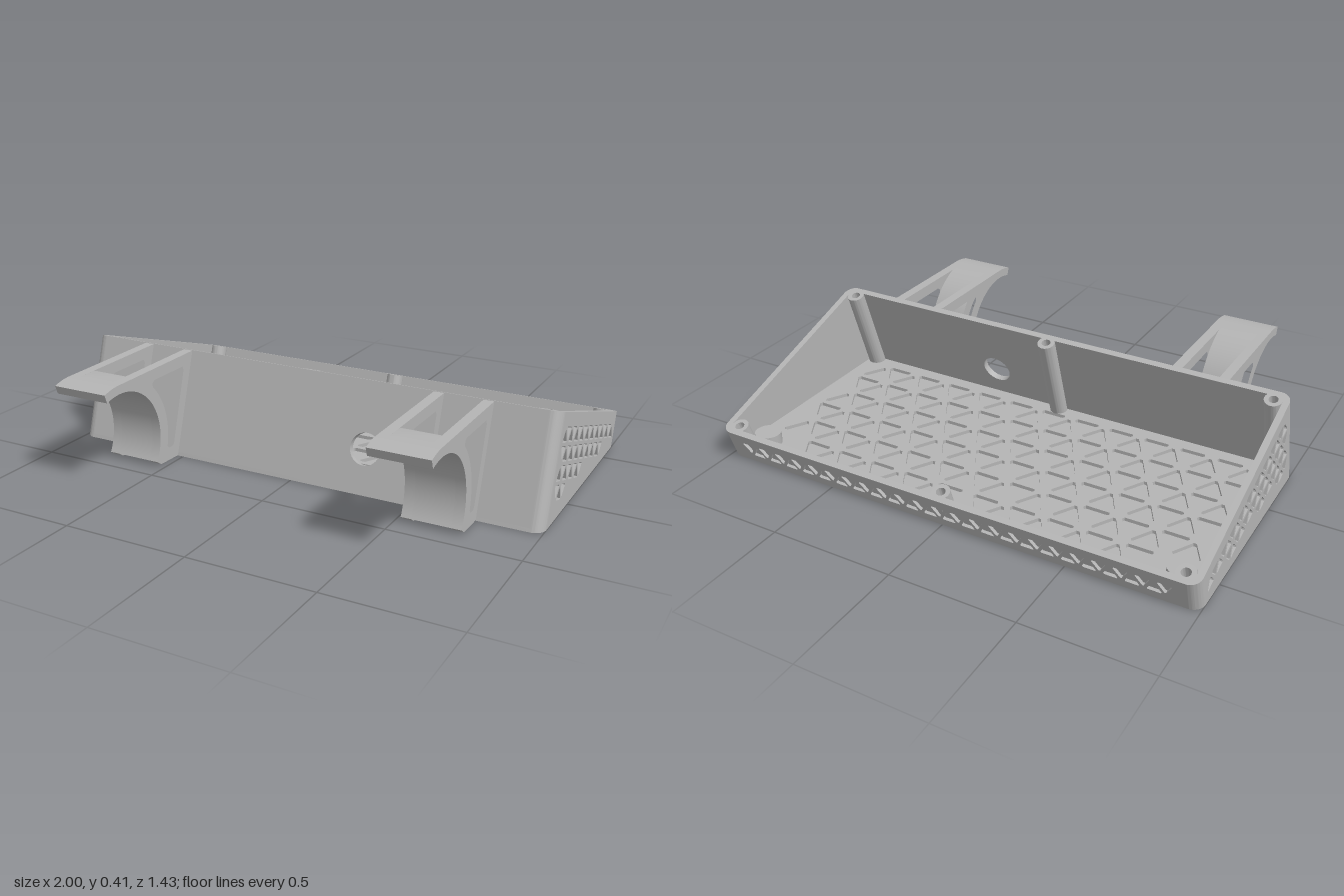
import * as THREE from 'three';
import { toCreasedNormals } from 'three/addons/utils/BufferGeometryUtils.js';

const TILT = 0.313, C = Math.cos(TILT), S = Math.sin(TILT);
const MID_Y = 0.27, MID_Z = -0.2775;        // centre of the sloped rim
const L = 0.4545, R = 0.045, W = 0.025;     // half depth, corner radius, wall
const D = 0.012, BASE = 0.018;              // pocket depth, base plate
const POSTS_X = [-0.94, 0, 0.94], POST_U = 0.41;

const plastic = new THREE.MeshStandardMaterial({ color: 0xb4b4b4 });
plastic.name = 'grey plastic';

function add(parent, name, geometry) {
  const mesh = new THREE.Mesh(toCreasedNormals(geometry, 0.5), plastic);
  mesh.name = name;
  parent.add(mesh);
  return mesh;
}

const polygon = pts => new THREE.Shape(pts.map(p => new THREE.Vector2(p[0], p[1])));
const extrude = (shape, depth) =>
  new THREE.ExtrudeGeometry(shape, { depth, bevelEnabled: false, curveSegments: 24 });
// Plate drawn in (z, y), running along x from x0
const sidePlate = (shape, x0, depth) =>
  extrude(shape, depth).rotateY(-Math.PI / 2).translate(x0 + depth, 0, 0);

function circle(x, y, r) {
  return new THREE.Path().absarc(x, y, r, 0, Math.PI * 2, true);
}

// Tilted frame: height v at which world height y is met, at depth u
const vAt = (y, u) => (y - MID_Y - S * u) / C;

// Plan shape (x, -u) pushed along the tilted axis from height y0 to y1, or to the rim
function prism(shape, y0, y1) {
  const g = extrude(shape, 1).rotateX(-Math.PI / 2);
  const p = g.attributes.position;
  for (let i = 0; i < p.count; i++) {
    const u = p.getZ(i);
    const top = y1 === undefined ? 0 : vAt(y1, u);
    p.setY(i, p.getY(i) > 0.5 ? top : vAt(y0, u));
  }
  return g;
}

// Triangular grid of pockets with blunt corners; rows go down from yTop
function triangles(shape, s, gap, yTop, rows, halfWidth, keep) {
  const h = s * Math.sqrt(3) / 2, r = s / Math.sqrt(3) - gap;
  const n = Math.ceil(halfWidth / s) + 1;
  for (let j = 0; j < rows; j++) {
    for (let i = -2 * n; i <= 2 * n; i++) {
      const up = Math.abs(i + j) % 2 === 1;
      const cx = i * s / 2;
      const cy = yTop - j * h - (up ? 2 : 1) * h / 3;
      const corners = [0, 1, 2].map(k => {
        const a = (up ? 1 : -1) * Math.PI / 2 + k * Math.PI * 2 / 3;
        return new THREE.Vector2(cx + r * Math.cos(a), cy + r * Math.sin(a));
      });
      if (!corners.every(c => Math.abs(c.x) < halfWidth && keep(c.x, c.y, cx, cy))) continue;
      const pts = [];
      corners.forEach((c, k) => {
        pts.push(c.clone().lerp(corners[(k + 2) % 3], 0.1), c.clone().lerp(corners[(k + 1) % 3], 0.1));
      });
      shape.holes.push(new THREE.Path(pts.reverse()));
    }
  }
  return shape;
}

function roundedRect() {
  const s = new THREE.Shape(), q = Math.PI / 2;
  s.absarc(1 - R, -L + R, R, -q, 0);
  s.absarc(1 - R, L - R, R, 0, q);
  s.absarc(-1 + R, L - R, R, q, 2 * q);
  s.absarc(-1 + R, -L + R, R, 2 * q, 3 * q);
  return s;
}

// Side and back walls, stepped in where the pocketed panels sit
function wallOutline() {
  const s = new THREE.Shape(), q = Math.PI / 2, a = 1 - R, b = L - R;
  const line = pts => pts.forEach(p => s.lineTo(p[0], p[1]));
  s.absarc(a, -b, R, -q, 0);
  line([[1 - D, -b], [1 - D, b]]);
  s.absarc(a, b, R, 0, q);
  line([[a, L - D], [-a, L - D]]);
  s.absarc(-a, b, R, q, 2 * q);
  line([[-1 + D, b], [-1 + D, -b]]);
  s.absarc(-a, -b, R, 2 * q, 3 * q);
  line([[-a, -L + W], [-1 + W, -b], [-1 + W, b], [-a, L - W],
    [a, L - W], [1 - W, b], [1 - W, -b], [a, -L + W]]);
  return s;
}

function buildCase() {
  const g = new THREE.Group();
  g.name = 'case';
  g.rotation.x = -TILT;
  g.position.set(0, MID_Y, MID_Z);

  // Base plate with two blind mounting holes
  const base = roundedRect();
  for (const x of [-0.89, 0.89]) base.holes.push(circle(x, 0.365, 0.03));
  add(g, 'basePlate', prism(base, 0, BASE));
  add(g, 'sideAndBackWalls', prism(wallOutline(), BASE));

  // Front wall with cable hole
  const a = 1 - R, low = BASE - 0.004;
  const front = polygon([[-a, vAt(low, L)], [a, vAt(low, L)], [a, 0], [-a, 0]]);
  front.holes.push(circle(0.29, vAt(0.165, L), 0.062));
  add(g, 'frontWall', extrude(front, W).translate(0, 0, L - W));

  // Pocketed skins
  const back = polygon([[-a, vAt(low, -L)], [a, vAt(low, -L)], [a, 0], [-a, 0]]);
  triangles(back, 0.08, 0.012, -0.036, 1, 0.93, () => true);
  add(g, 'backPanel', extrude(back, D).translate(0, 0, -L));
  const b = L - R;
  for (const side of [-1, 1]) {
    const panel = polygon([[-b, vAt(low, -b)], [b, vAt(low, b)], [b, 0], [-b, 0]]);
    triangles(panel, 0.08, 0.012, -0.046, 6, 0.39, (u, v) => MID_Y + C * v + S * u > 0.04);
    add(g, 'sidePanel', sidePlate(panel, side > 0 ? 1 - D : -1, D));
  }

  // Screw posts
  for (const x of POSTS_X) for (const u of [-POST_U, POST_U]) {
    const post = new THREE.Shape().absarc(x, -u, 0.035, 0, Math.PI * 2);
    post.holes.push(circle(x, -u, 0.018));
    add(g, 'screwPost', prism(post, BASE));
  }
  return g;
}

// Hook: two windowed cheeks joined by a curved cradle
function buildHook(x0) {
  const g = new THREE.Group();
  g.name = 'hook';
  const cz = 0.63, cy = 0.135, rad = Math.PI / 180, tip = 71.5 * rad;
  const width = 0.23, cheekW = 0.04;

  const cheek = new THREE.Shape();
  cheek.moveTo(0.284, 0.001);
  cheek.lineTo(0.15, 0.408);
  cheek.lineTo(cz, 0.405);
  cheek.absarc(cz, cy, 0.27, Math.PI / 2, tip, true);
  cheek.absarc(cz, cy, 0.235, tip, 209 * rad, false);
  cheek.lineTo(0.4, 0.004);
  const win = new THREE.Path();
  win.absarc(cz, cy, 0.285, 135 * rad, 194 * rad, false);
  [[0.345, 0.055], [0.318, 0.055], [0.31, 0.062], [0.222, 0.345], [0.228, 0.361], [0.415, 0.361], [0.428, 0.352]]
    .forEach(p => win.lineTo(p[0], p[1]));
  cheek.holes.push(win);
  for (const x of [x0, x0 + width - cheekW]) add(g, 'hookCheek', sidePlate(cheek, x, cheekW));

  const cradle = new THREE.Shape();
  cradle.absarc(cz, cy, 0.285, 207 * rad, 108.4 * rad, true);
  cradle.lineTo(cz, 0.405);
  cradle.absarc(cz, cy, 0.27, Math.PI / 2, tip, true);
  cradle.absarc(cz, cy, 0.235, tip, 209 * rad, false);
  add(g, 'hookCradle', sidePlate(cradle, x0 + cheekW, width - 2 * cheekW));
  return g;
}

export function createModel() {
  const model = new THREE.Group();
  model.name = 'slopedEnclosure';
  model.add(buildCase());

  // Inner floor with triangular pockets, drawn in (x, -z)
  const floor = polygon([[-0.98, -0.265], [0.98, -0.265], [0.98, 0.66], [-0.98, 0.66]]);
  triangles(floor, 0.156, 0.022, 0.605, 6, 0.925, (x, y, cx, cy) =>
    Math.hypot(Math.abs(x) - 0.89, y - 0.57) > 0.07 && Math.hypot(cx, cy - 0.6) > 0.06);
  add(model, 'floorGrid', extrude(floor, 0.014).rotateX(-Math.PI / 2).translate(0, BASE, 0));

  // Hollow mounting bosses
  const profile = [[0, 0.065], [0.03, 0.065], [0.03, 0.002], [0.052, 0.002], [0.052, 0.08], [0, 0.08]]
    .map(p => new THREE.Vector2(p[0], p[1]));
  for (const x of [-0.89, 0.89]) {
    add(model, 'mountingBoss', new THREE.LatheGeometry(profile, 32)).position.set(x, 0, -0.57);
  }

  for (const x0 of [-0.755, 0.525]) model.add(buildHook(x0));
  return model;
}
